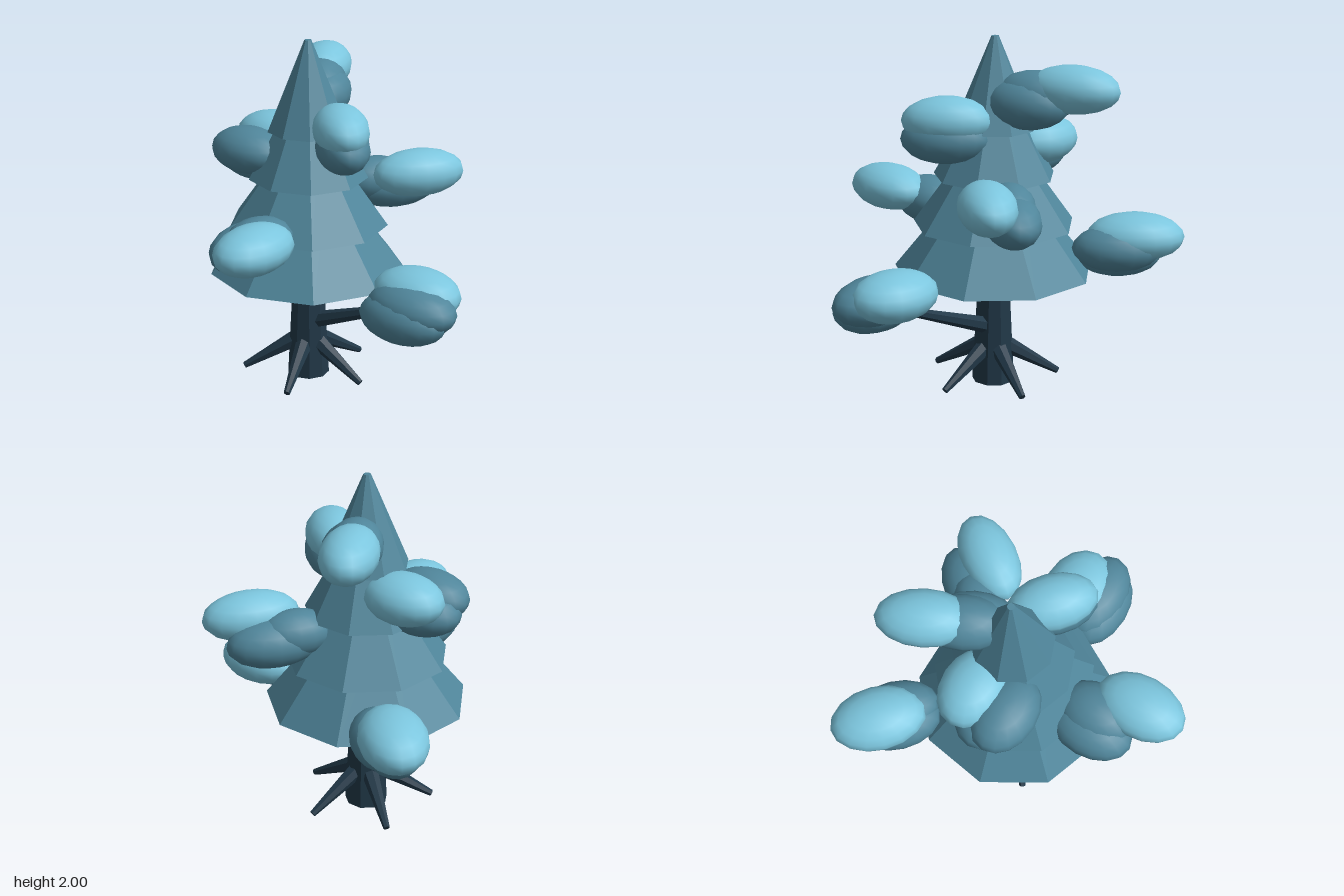
import * as THREE from 'three';

const AXIS_X = -0.13, AXIS_Z = -0.1, SIDES = 9;

export function createModel() {
  const root = new THREE.Group();
  root.name = 'tree';

  const mat = (name, color) => {
    const m = new THREE.MeshStandardMaterial({ color });
    m.name = name;
    return m;
  };
  const bark = mat('dark bark', 0x213848);
  const needles = mat('needle blue', 0x50869b);
  const snow = mat('pale blue', 0x7cc6de);

  const add = (name, geometry, material) => {
    const mesh = new THREE.Mesh(geometry, material);
    mesh.name = name;
    root.add(mesh);
    return mesh;
  };
  // Faceted geometry with one normal per face
  const facet = (geometry) => {
    const g = geometry.toNonIndexed();
    g.computeVertexNormals();
    return g;
  };

  // Tapered limb between two points
  const limb = (name, from, to, r0, r1, sides = 7) => {
    const a = new THREE.Vector3(...from), b = new THREE.Vector3(...to);
    const dir = b.clone().sub(a);
    const mesh = add(name, facet(new THREE.CylinderGeometry(r1, r0, dir.length(), sides)), bark);
    mesh.position.copy(a).add(b).multiplyScalar(0.5);
    mesh.quaternion.setFromUnitVectors(new THREE.Vector3(0, 1, 0), dir.normalize());
  };

  // Trunk and the two bare branches
  limb('trunk', [AXIS_X, 0, AXIS_Z], [AXIS_X, 0.9, AXIS_Z], 0.122, 0.075, SIDES);
  limb('rightBranch', [AXIS_X, 0.32, AXIS_Z], [0.55, 0.59, AXIS_Z], 0.052, 0.022);
  limb('leftBranch', [AXIS_X, 0.49, AXIS_Z], [-0.55, 0.735, -0.5], 0.052, 0.022);

  // Five splayed roots
  for (let i = 0; i < 5; i++) {
    const a = (i * Math.PI * 2) / 5;
    limb('root' + (i + 1), [AXIS_X, 0.25, AXIS_Z],
      [AXIS_X + 0.375 * Math.cos(a), 0.028, AXIS_Z + 0.375 * Math.sin(a)], 0.058, 0.019);
  }

  // Stacked skirts of needles: base height, base radius, top radius
  [[0.67, 0.565, 0.16], [0.94, 0.455, 0.09], [1.22, 0.34, 0.06], [1.49, 0.23, 0.02]]
    .forEach(([y, r, top], i) => {
      const tier = add('tier' + (i + 1), facet(new THREE.CylinderGeometry(top, r, 0.51, SIDES)), needles);
      tier.position.set(AXIS_X, y + 0.255, AXIS_Z);
    });

  // Foliage clumps: yaw, then lobes as [x, y, z, long, high, wide], pale lobe first
  const clumps = [
    ['lowRight', 0, [
      [0.61, 0.69, -0.11, 0.26, 0.137, 0.2],
      [0.65, 0.645, 0, 0.27, 0.135, 0.175],
      [0.62, 0.595, 0.04, 0.265, 0.14, 0.17]]],
    ['lowLeft', -Math.PI / 4, [
      [-0.7, 0.867, -0.65, 0.275, 0.135, 0.185],
      [-0.59, 0.81, -0.61, 0.25, 0.13, 0.16],
      [-0.64, 0.77, -0.57, 0.25, 0.137, 0.16]]],
    ['front', Math.PI / 2, [
      [0.045, 1.04, 0.605, 0.265, 0.13, 0.18],
      [-0.165, 0.935, 0.41, 0.25, 0.137, 0.17],
      [-0.09, 0.98, 0.4, 0.23, 0.137, 0.17]]],
    ['midRight', 0.96, [
      [0.33, 1.215, -0.53, 0.27, 0.135, 0.158],
      [0.16, 1.11, -0.54, 0.265, 0.135, 0.155],
      [0.09, 1.15, -0.45, 0.21, 0.13, 0.14]]],
    ['midLeft', 0, [
      [-0.42, 1.39, -0.17, 0.235, 0.135, 0.18],
      [-0.44, 1.345, 0.035, 0.24, 0.133, 0.175],
      [-0.45, 1.29, -0.05, 0.235, 0.135, 0.18]]],
    ['highRight', -Math.PI / 4, [
      [0.152, 1.56, -0.022, 0.25, 0.135, 0.155],
      [0.165, 1.46, -0.022, 0.245, 0.135, 0.15]]],
    ['highBack', -1.1, [
      [-0.32, 1.74, -0.51, 0.26, 0.132, 0.155],
      [-0.22, 1.69, -0.33, 0.235, 0.14, 0.15],
      [-0.17, 1.65, -0.31, 0.235, 0.14, 0.15]]],
  ];
  const ball = new THREE.SphereGeometry(1, 16, 10);
  for (const [name, yaw, lobes] of clumps) {
    lobes.forEach(([x, y, z, long, high, wide], i) => {
      const lobe = add(`${name}Foliage${i + 1}`, ball, i ? needles : snow);
      lobe.position.set(x, y, z);
      lobe.rotation.y = yaw;
      lobe.scale.set(long, high, wide);
    });
  }
  return root;
}
